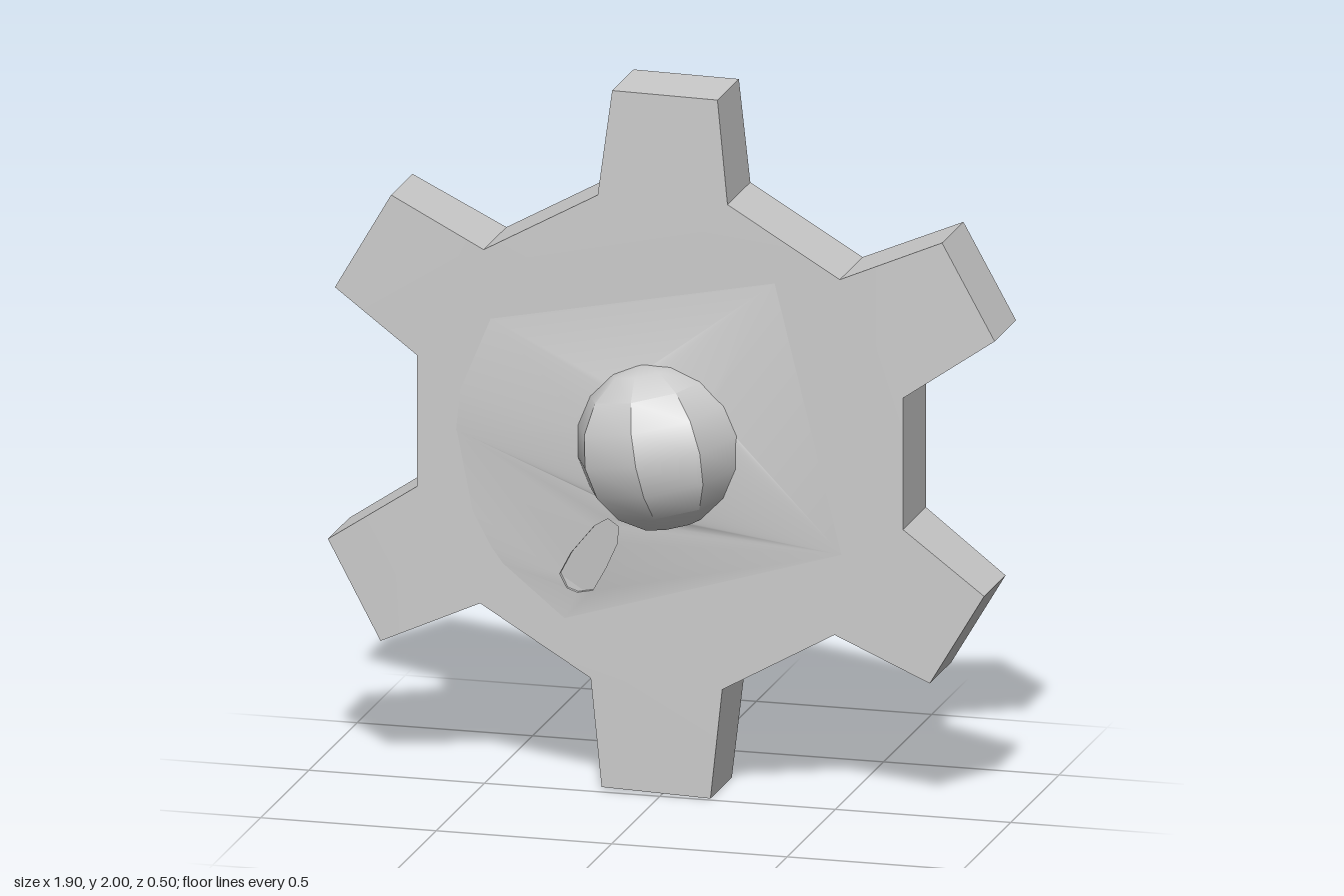
import * as THREE from 'three';
import { toCreasedNormals } from 'three/addons/utils/BufferGeometryUtils.js';

const vectors = (pairs) => pairs.map(([x, y]) => new THREE.Vector2(x, y));

// Six-toothed rim, clockwise from the top tooth, with slightly uneven teeth
const OUTLINE = vectors([
  [-0.14, 2], [0.16, 1.995], [0.19, 1.7], [0.51, 1.51],
  [0.8, 1.635], [0.95, 1.365], [0.69, 1.185], [0.69, 0.81],
  [0.92, 0.635], [0.765, 0.375], [0.495, 0.495], [0.175, 0.315],
  [0.14, 0], [-0.17, 0.01], [-0.2, 0.32], [-0.515, 0.51],
  [-0.8, 0.38], [-0.95, 0.66], [-0.695, 0.83], [-0.695, 1.205],
  [-0.93, 1.38], [-0.77, 1.655], [-0.505, 1.52], [-0.18, 1.7],
]);

// Teardrop-shaped recess in the front face, counter-clockwise
const SLOT = vectors([
  [-0.285, 0.615], [-0.265, 0.575], [-0.235, 0.565], [-0.19, 0.575],
  [-0.15, 0.645], [-0.115, 0.72], [-0.11, 0.77], [-0.14, 0.79],
  [-0.18, 0.765], [-0.25, 0.68],
]);

const radius = (x, y) => Math.hypot(x, y - 1);
const domeHeight = (x, y) => 0.03 - 0.12 * (radius(x, y) - 0.25);
const SLOT_DEPTH = 0.012;

// Set z of every vertex by a rule
function setZ(geometry, rule) {
  const p = geometry.attributes.position;
  for (let i = 0; i < p.count; i++) p.setZ(i, rule(p.getX(i), p.getY(i), p.getZ(i)));
  geometry.computeVertexNormals();
  return geometry;
}

function circlePath(path, r) {
  path.absarc(0, 1, r, 0, Math.PI * 2, false);
  return path;
}

export function createModel() {
  const group = new THREE.Group();
  const material = new THREE.MeshStandardMaterial({ color: 0xcccccc });
  const add = (name, geometry, mat = material) => {
    const mesh = new THREE.Mesh(geometry, mat);
    mesh.name = name;
    group.add(mesh);
    return mesh;
  };

  // Toothed plate, a little thinner at the tooth tips
  const plate = new THREE.ExtrudeGeometry(new THREE.Shape(OUTLINE), { depth: 1, bevelEnabled: false });
  setZ(plate, (x, y, z) => {
    const tip = radius(x, y) > 0.8;
    if (z > 0.5) return tip ? -0.015 : -0.01;
    return tip ? -0.237 : -0.247;
  });
  add('gearPlate', toCreasedNormals(plate, 0.5));

  // Shallow conical swelling on the front, cut by the recess
  const swelling = circlePath(new THREE.Shape(), 0.585);
  swelling.holes.push(circlePath(new THREE.Path(), 0.2), new THREE.Path(SLOT));
  add('frontSwelling', setZ(new THREE.ShapeGeometry(swelling, 32), domeHeight));

  // Recess floor and wall
  const floor = new THREE.ShapeGeometry(new THREE.Shape(SLOT));
  add('recessFloor', setZ(floor, (x, y) => domeHeight(x, y) - SLOT_DEPTH));
  const wall = [];
  SLOT.forEach((a, i) => {
    const b = SLOT[(i + 1) % SLOT.length];
    const za = domeHeight(a.x, a.y), zb = domeHeight(b.x, b.y);
    const corners = [[a.x, a.y, za], [b.x, b.y, zb], [b.x, b.y, zb - SLOT_DEPTH], [a.x, a.y, za - SLOT_DEPTH]];
    for (const k of [0, 1, 2, 0, 2, 3]) wall.push(...corners[k]);
  });
  const wallGeometry = new THREE.BufferGeometry();
  wallGeometry.setAttribute('position', new THREE.Float32BufferAttribute(wall, 3));
  wallGeometry.computeVertexNormals();
  add('recessWall', wallGeometry, new THREE.MeshStandardMaterial({ color: 0xcccccc, side: THREE.DoubleSide }));

  // Faceted central knob, tilted, with one ridge facing forward
  const knob = add('centreKnob', toCreasedNormals(new THREE.SphereGeometry(0.236, 8, 8), 0.65));
  knob.position.set(0, 1.005, 0.014);
  knob.rotation.z = 0.2;

  return group;
}
